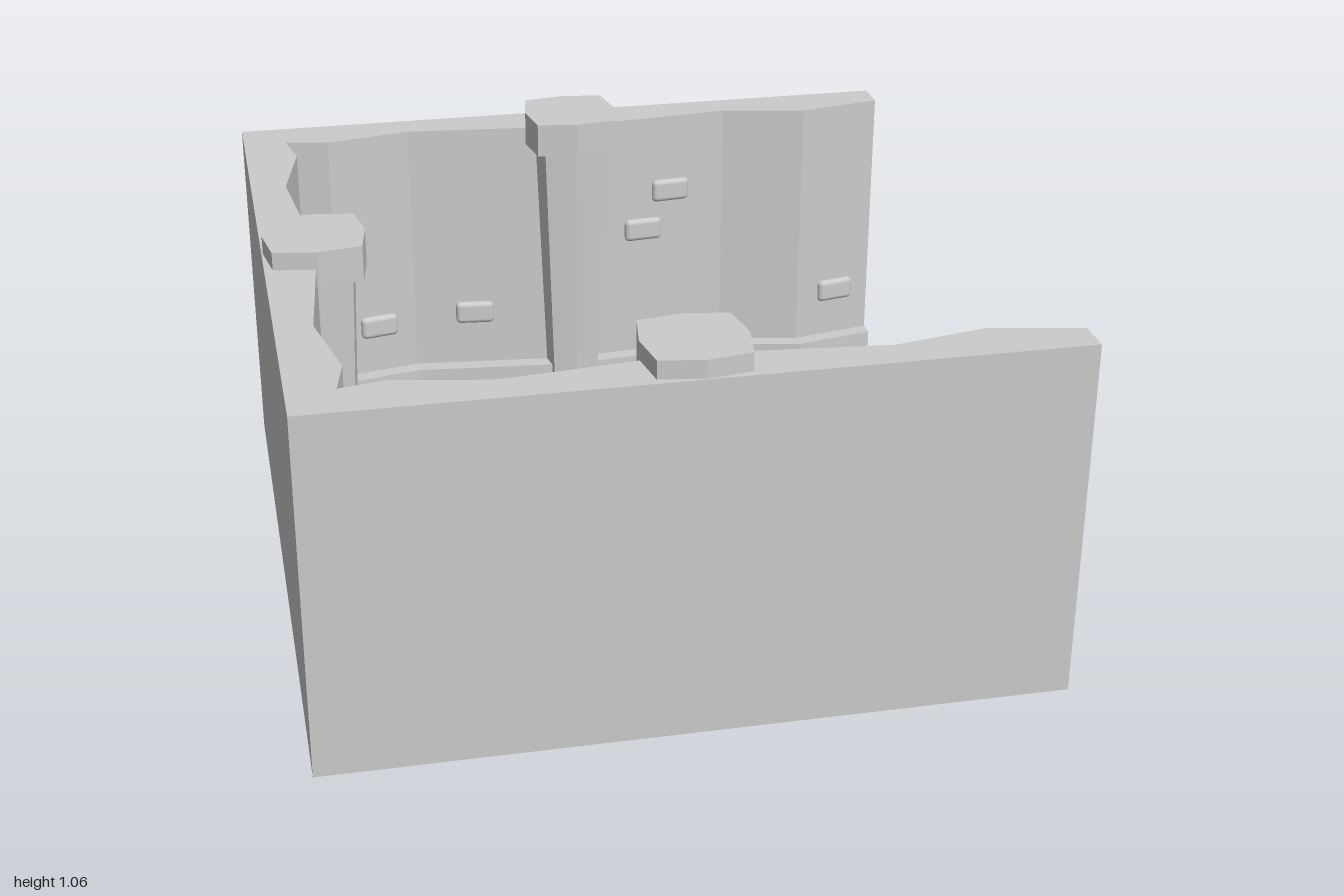
import * as THREE from 'three';
import { RoundedBoxGeometry } from 'three/addons/geometries/RoundedBoxGeometry.js';

const flat = new THREE.MeshStandardMaterial({ color: 0xcccccc, flatShading: true });
const smooth = new THREE.MeshStandardMaterial({ color: 0xcccccc });

function add(parent, name, geometry, material = flat) {
  const mesh = new THREE.Mesh(geometry, material);
  mesh.name = name;
  parent.add(mesh);
  return mesh;
}

// Wavy wall face: distance from the centre at position u along a wall.
const WAVE = [[-1, 0.9], [-0.75, 0.85], [-0.5, 0.9], [0, 0.85], [0.5, 0.9], [0.75, 0.85], [1, 0.9]];
function wallFace(u) {
  let i = 0;
  while (i < WAVE.length - 2 && u > WAVE[i + 1][0]) i++;
  const [[u0, d0], [u1, d1]] = [WAVE[i], WAVE[i + 1]];
  const slope = (d1 - d0) / (u1 - u0);
  return { depth: d0 + slope * (u - u0), slope };
}

// One horizontal layer of the three joined walls, open towards +x.
function wallLayer(inset, corner, waves, bump, y0, y1) {
  const bumpAt = bump
    ? [[0.17, 0.715], [0.165, 0.68], [0.15, 0.665], [0.12, 0.655], [0, 0.64],
      [-0.12, 0.655], [-0.15, 0.665], [-0.165, 0.68], [-0.17, 0.715]]
    : [[0, 0.85 - inset]];
  const side = waves.map((u) => [u, wallFace(u).depth - inset]);
  const mirrored = side.map(([u, d]) => [-u, d]).reverse();
  const half = [...side, ...bumpAt, ...mirrored];
  // Full-length side wall from the open end to the corner
  const long = [[1, 0.9 - inset], [0.75, 0.85 - inset], ...half.filter(([u]) => u < 0.7)];
  const points = [
    ...long.map(([u, d]) => [u, d]),
    [-corner, corner],
    ...half.map(([u, d]) => [-d, u]),
    [-corner, -corner],
    ...long.map(([u, d]) => [u, -d]).reverse(),
    [1, -1], [-1, -1], [-1, 1], [1, 1],
  ];
  const shape = new THREE.Shape(points.map(([x, y]) => new THREE.Vector2(x, y)));
  return new THREE.ExtrudeGeometry(shape, { depth: y1 - y0, bevelEnabled: false })
    .rotateX(-Math.PI / 2).translate(0, y0, 0);
}

// Square block with slightly bowed sides, tapering from bottom to top.
function bowedBlock(bottom, top, y0, y1) {
  const g = new THREE.CylinderGeometry(top, bottom, y1 - y0, 8, 1);
  const p = g.attributes.position;
  for (let i = 0; i < p.count; i++) {
    const x = p.getX(i), z = p.getZ(i);
    if (Math.min(Math.abs(x), Math.abs(z)) > 0.01) {
      p.setX(i, x * 1.22);
      p.setZ(i, z * 1.22);
    }
  }
  return g.translate(0, (y0 + y1) / 2, 0);
}

// Low stone with a narrower top, resting on the floor.
function stoneGeometry(size, height, taper) {
  const r = size / Math.SQRT2;
  return new THREE.CylinderGeometry(r * taper, r, height, 4, 1)
    .rotateY(Math.PI / 4).translate(0, height / 2, 0);
}

export function createModel() {
  const model = new THREE.Group();
  model.name = 'stoneRoom';

  add(model, 'floor', new THREE.BoxGeometry(2, 0.004, 2).translate(0, 0.002, 0));

  // Stepped walls
  add(model, 'wallFooting', wallLayer(0.15, 0.71, [0.5], true, 0, 0.05));
  add(model, 'wallLedge', wallLayer(0.05, 0.81, [0.75, 0.5], false, 0.05, 0.22));
  add(model, 'upperWall', wallLayer(0, 0.875, [0.75, 0.5], false, 0.22, 1.01));

  // A pillar and raised bricks on each of the three walls
  const bricks = [[-0.62, 0.375], [-0.31, 0.395], [0.235, 0.64], [0.325, 0.765], [0.88, 0.375]];
  const brickGeometry = new RoundedBoxGeometry(0.12, 0.072, 0.05, 2, 0.015);
  ['back', 'right', 'front'].forEach((wall, i) => {
    const group = new THREE.Group();
    group.name = `${wall}WallDetails`;
    group.rotation.y = i * Math.PI / 2;
    model.add(group);

    const pillar = new THREE.Group();
    pillar.name = 'pillar';
    pillar.position.z = -0.857;
    group.add(pillar);
    add(pillar, 'pillarBase', bowedBlock(0.125, 0.125, 0.05, 0.15));
    add(pillar, 'pillarShaft', bowedBlock(0.08, 0.108, 0.15, 0.96));
    add(pillar, 'pillarCap', bowedBlock(0.139, 0.139, 0.96, 1.06));

    for (const [u, y] of bricks) {
      const { depth, slope } = wallFace(u);
      const brick = add(group, 'raisedBrick', brickGeometry, smooth);
      brick.position.set(u, y, -depth - 0.01);
      brick.rotation.y = Math.atan(slope);
    }
  });

  // Loose stones: x, z and turn in degrees
  const stones = {
    largeStone: [stoneGeometry(0.11, 0.025, 0.7), [
      [-0.565, -0.61, -12], [0.42, -0.62, -12], [0.94, -0.61, -12], [-0.615, -0.42, -12],
      [-0.61, 0.56, -12], [-0.42, 0.615, -12], [0.565, 0.61, -12]]],
    flatStone: [stoneGeometry(0.1, 0.018, 0.5), [
      [-0.38, -0.625, 45], [-0.19, -0.59, -8], [-0.585, 0.19, -8], [-0.62, 0.38, 45],
      [0.19, 0.59, -8], [0.385, 0.625, 45]]],
    pebble: [stoneGeometry(0.052, 0.018, 0.75), [
      [-0.695, -0.62, -10], [-0.295, -0.53, 0], [0.295, -0.625, -10], [0.81, -0.62, -10],
      [-0.625, -0.295, -10], [-0.53, 0.29, 0], [-0.62, 0.69, -10], [-0.295, 0.625, -10],
      [0.29, 0.525, 0], [0.69, 0.615, -10]]],
  };
  for (const [name, [geometry, places]] of Object.entries(stones)) {
    for (const [x, z, turn] of places) {
      const stone = add(model, name, geometry);
      stone.position.set(x, 0.002, z);
      stone.rotation.y = THREE.MathUtils.degToRad(turn);
    }
  }
  return model;
}
